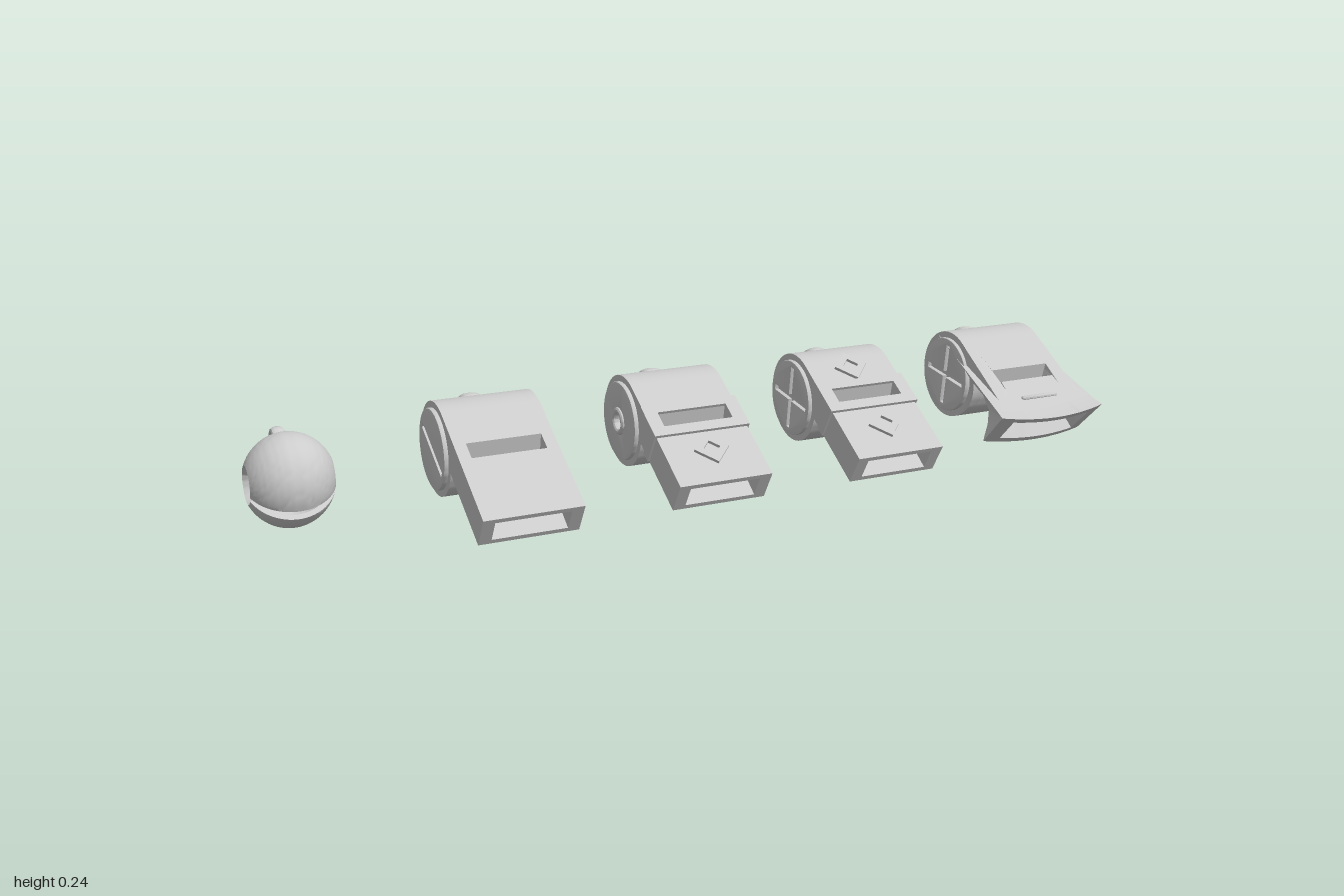
import * as THREE from 'three';
import { toCreasedNormals } from 'three/addons/utils/BufferGeometryUtils.js';

const TILT = 0.55; // mouthpieces point forward and down
const mat = new THREE.MeshStandardMaterial({ color: 0xcccccc, side: THREE.DoubleSide });
const step = THREE.MathUtils.smoothstep;

function add(parent, geo, name, x = 0, y = 0, z = 0) {
  const m = new THREE.Mesh(toCreasedNormals(geo, 0.6), mat);
  m.name = name;
  m.position.set(x, y, z);
  parent.add(m);
  return m;
}
const polygon = pts => new THREE.Shape(pts.map(p => new THREE.Vector2(p[0], p[1])));

// side profile (z, y) swept from x0 to x1
function sweep(shape, x0, x1, steps = 1, bevel = 0) {
  const g = new THREE.ExtrudeGeometry(shape, {
    depth: x1 - x0 - 2 * bevel, steps, curveSegments: 40, bevelEnabled: bevel > 0,
    bevelSize: bevel, bevelThickness: bevel, bevelOffset: -bevel, bevelSegments: 2
  });
  return g.rotateY(-Math.PI / 2).translate(x1 - bevel, 0, 0);
}

// whistle outline around the drum centre: z along the mouthpiece, y across it
function outline(o, slot, recess) {
  const { R, top, under } = o;
  const pts = [[0, R], [0.05, R]];
  const [s0, s1] = o.slot;
  if (slot) pts.push([s0, R], [s0 + 0.012, R - 0.035], [s1, R - 0.035], [s1, R]);
  pts.push(...top);
  const a = top[top.length - 1], b = under[0];
  if (slot) { // open mouth
    const mix = t => [a[0] + (b[0] - a[0]) * t, a[1] + (b[1] - a[1]) * t];
    pts.push(mix(0.15), [0.2, R - 0.014], [0.2, R - 0.056], mix(0.85));
  }
  pts.push(...under);
  const last = under[under.length - 1];
  const a0 = Math.atan2(last[1], last[0]), a1 = -1.5 * Math.PI, n = 44;
  for (let i = 1; i < n; i++) {
    const t = a0 + (a1 - a0) * i / n;
    const r = recess && Math.abs(t + Math.PI) < 0.6 ? R - 0.02 : R;
    pts.push([r * Math.cos(t), r * Math.sin(t)]);
  }
  return polygon(pts);
}

// flared mouthpiece: narrow neck, wide curved lip
function flare(g) {
  const p = g.attributes.position;
  for (let i = 0; i < p.count; i++) {
    const z = p.getZ(i);
    const x = p.getX(i) * (1 - 0.1 * step(z, 0.07, 0.13) + 0.42 * step(z, 0.15, 0.28));
    p.setX(i, x);
    p.setZ(i, z - 0.02 * (x / 0.145) ** 2 * step(z, 0.15, 0.27));
  }
  return g;
}

// flattened loop for a cord
function loop(parent, z, width) {
  const g = new THREE.TorusGeometry(0.025, 0.008, 12, 28).rotateY(Math.PI / 2);
  add(parent, g.scale(width / 0.016, 1, 1), 'cordLoop', 0, 0, z);
}

// raised diamond frame on the top face
function diamond(parent, R, z) {
  const d = r => [[r, 0], [0, r], [-r, 0], [0, -r]];
  const s = polygon(d(0.042));
  s.holes.push(polygon(d(0.02)));
  const g = new THREE.ExtrudeGeometry(s, { depth: 0.012, bevelEnabled: false });
  add(parent, g.rotateX(-Math.PI / 2), 'diamond', 0, R - 0.005, z);
}

// end disc with a cut groove, cross or round hole
function cap(parent, kind, R, side) {
  const s = new THREE.Shape().absarc(0, 0, R * 0.86, 0, Math.PI * 2);
  const w = 0.006, l = 0.074, tilt = kind === 'cross' ? 0.42 : 0;
  const turn = p => [p[0] * Math.cos(tilt) - p[1] * Math.sin(tilt), p[0] * Math.sin(tilt) + p[1] * Math.cos(tilt)];
  if (kind === 'ring') s.holes.push(new THREE.Path().absarc(0, 0, 0.018, 0, Math.PI * 2));
  if (kind === 'slash') s.holes.push(polygon([[-l, -w], [l, -w], [l, w], [-l, w]]));
  if (kind === 'cross') s.holes.push(polygon([[w, w], [l, w], [l, -w], [w, -w], [w, -l], [-w, -l],
    [-w, -w], [-l, -w], [-l, w], [-w, w], [-w, l], [w, l]].map(turn)));
  const [x0, x1] = side > 0 ? [0.106, 0.12] : [-0.12, -0.106];
  add(parent, sweep(s, x0, x1, 1, 0.003), 'endCap');
  if (kind === 'ring') {
    add(parent, new THREE.TorusGeometry(0.025, 0.007, 10, 28).rotateY(Math.PI / 2), 'capRing', side * 0.119);
  }
}

// raised collar round the window, wrapping onto the sides
function collar(parent, o) {
  const w = 0.115, z0 = o.slot[0] - 0.022, z1 = o.slot[1] + 0.025;
  const s = polygon([[-w, -z0], [w, -z0], [w, -z1], [-w, -z1]]);
  s.holes.push(polygon([[-0.083, -o.slot[0]], [0.083, -o.slot[0]], [0.083, -o.slot[1]], [-0.083, -o.slot[1]]]));
  const g = new THREE.ExtrudeGeometry(s, { depth: 0.012, bevelEnabled: false });
  add(parent, g.rotateX(-Math.PI / 2), 'windowCollar', 0, o.R - 0.005);
  for (const side of [-1, 1]) {
    add(parent, new THREE.BoxGeometry(0.01, 0.075, 0.025), 'collarSide', side * 0.11, o.R - 0.036, z1 - 0.0125);
  }
}

function whistle(parent, o) {
  const g = new THREE.Group();
  g.name = o.name;
  g.position.set(...o.at);
  g.rotation.x = TILT;
  parent.add(g);
  // side walls and slotted middle
  const shape = f => f ? flare : x => x;
  const bend = shape(o.flared);
  const c = 0.083, e = 0.11;
  for (const [x0, x1] of [[-e, -c], [c, e]]) add(g, bend(sweep(outline(o, false), x0, x1, 2)), 'sideWall');
  if (o.flared) {
    for (const [x0, x1] of [[-c, -0.05], [0.05, c]]) add(g, bend(sweep(outline(o, true), x0, x1, 3)), 'body');
    add(g, bend(sweep(outline(o, true, true), -0.05, 0.05, 6)), 'recessedBody');
    add(g, new THREE.CapsuleGeometry(0.006, 0.09, 4, 10).rotateZ(Math.PI / 2), 'topRidge', 0, o.R, 0.2);
  } else {
    add(g, sweep(outline(o, true), -c, c), 'body');
  }
  for (const side of [-1, 1]) cap(g, o.cap, o.R, side);
  loop(g, -o.R - 0.002, 0.048);
  if (o.collar) collar(g, o);
  for (const z of o.diamonds || []) diamond(g, o.R, z);
}

// hollow bell: a slit across the front joins two round side holes
function bell(parent) {
  const outer = new THREE.Group();
  outer.name = 'bell';
  outer.position.set(-0.907, 0.128, -0.022);
  outer.scale.set(1, 1.05, 1);
  parent.add(outer);
  const g = new THREE.Group();
  g.rotation.x = TILT;
  outer.add(g);
  const pts = [], n = 32, cut = 0.42;
  const arc = (r, i) => {
    const t = cut + (Math.PI - 2 * cut) * i / n;
    pts.push(new THREE.Vector2(r * Math.sin(t), -r * Math.cos(t)));
  };
  for (let i = 0; i <= n; i++) arc(0.0945, i);
  for (let i = n; i >= 0; i--) arc(0.083, i);
  const section = new THREE.Shape(pts.slice());
  pts.push(pts[0].clone());
  const gap = 0.12;
  add(g, new THREE.LatheGeometry(pts, 56, gap, Math.PI * 2 - 2 * gap).rotateZ(Math.PI / 2), 'bellShell');
  for (const s of [-1, 1]) {
    const lip = new THREE.ShapeGeometry(section).rotateY(-Math.PI / 2 + s * gap).rotateZ(Math.PI / 2);
    add(g, lip, 'slitLip');
  }
  loop(g, -0.1, 0.028);
}

export function createModel() {
  const root = new THREE.Group();
  root.name = 'whistleSet';
  bell(root);
  const R = 0.104;
  const straight = { R, slot: [0.086, 0.128], top: [[0.296, R]], under: [[0.296, R - 0.075], [0.1, R - 0.075]] };
  whistle(root, { ...straight, name: 'plainWhistle', at: [-0.47, 0.133, -0.08], cap: 'slash' });
  whistle(root, { ...straight, name: 'ringWhistle', at: [-0.028, 0.136, -0.095], cap: 'ring', collar: true, diamonds: [0.205] });
  whistle(root, { ...straight, name: 'diamondWhistle', at: [0.412, 0.137, -0.097], cap: 'cross', collar: true, diamonds: [0.02, 0.205] });
  whistle(root, {
    name: 'flaredWhistle', at: [0.855, 0.141, -0.109], R: 0.106, slot: [0.1, 0.14], cap: 'cross', flared: true,
    top: [[0.17, 0.106], [0.2, 0.106], [0.23, 0.107], [0.255, 0.11], [0.28, 0.116]],
    under: [[0.25, 0.008], [0.235, 0.018], [0.21, 0.032], [0.17, 0.045], [0.13, 0.053], [0.09, 0.056]]
  });
  return root;
}
